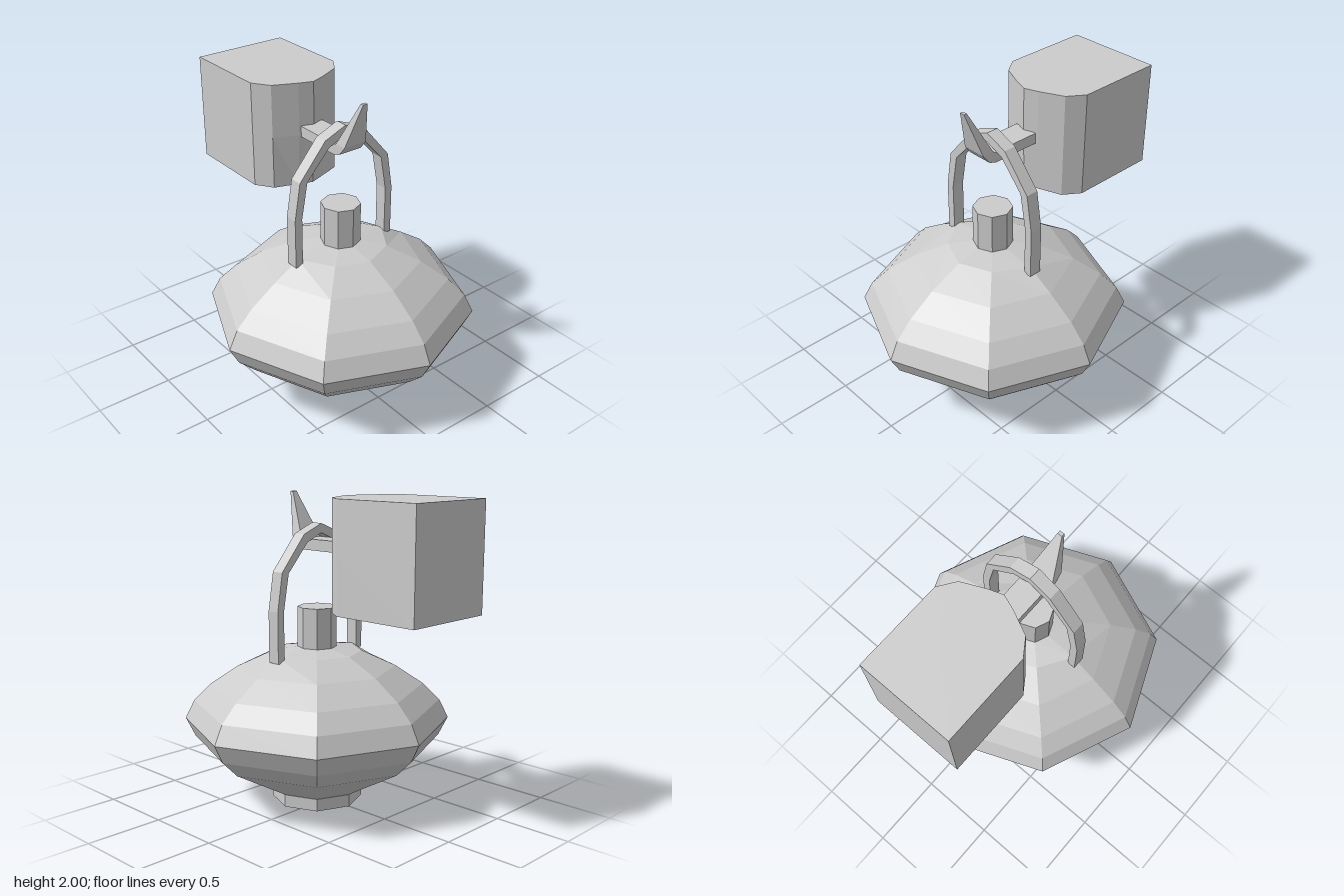
import * as THREE from 'three';

const AXIS_Z = 0.0975; // the octagonal body stands a little forward of centre
const MID_X = -0.007;  // centre of the block and lever

export function createModel() {
  const model = new THREE.Group();
  const material = new THREE.MeshStandardMaterial({ color: 0xcccccc, flatShading: true });

  const add = (name, geometry, x = 0, y = 0, z = 0) => {
    const mesh = new THREE.Mesh(geometry, material);
    mesh.name = name;
    mesh.position.set(x, y, z);
    model.add(mesh);
    return mesh;
  };
  const shapeOf = (points) => new THREE.Shape(points.map(([x, y]) => new THREE.Vector2(x, y)));

  // Faceted body, shoulder drawn out a little under the handle feet
  const profile = [
    [0.29, 0.08], [0.69, 0.31], [0.8, 0.42], [0.86, 0.54], [0.8, 0.66],
    [0.69, 0.77], [0.51, 0.89], [0.29, 0.99], [0.12, 1.02], [0, 1.02],
  ].map(([r, y]) => new THREE.Vector2(r, y));
  const body = new THREE.LatheGeometry(profile, 8);
  const p = body.attributes.position;
  for (let i = 0; i < p.count; i++) {
    const onSide = Math.abs(p.getZ(i)) < 0.001;
    if (onSide && Math.abs(p.getY(i) - 0.99) < 0.001) p.setX(i, Math.sign(p.getX(i)) * 0.335);
  }
  add('body', body, 0, 0, AXIS_Z);

  // Foot and neck
  add('foot', new THREE.CylinderGeometry(0.293, 0.293, 0.08, 8), 0, 0.04, AXIS_Z);
  add('neck', new THREE.CylinderGeometry(0.126, 0.126, 0.28, 8), -0.003, 1.14, AXIS_Z);

  // Arched handle: outer line up one side and down the other, then the inner line back
  const mirror = (half) => [
    ...half,
    ...half.filter(([x]) => x !== 0).reverse().map(([x, y]) => [-x, y]),
  ];
  const outer = mirror([[0.378, 0.965], [0.378, 1.29], [0.338, 1.53], [0.15, 1.75], [0, 1.81]]);
  const inner = mirror([[0.326, 0.965], [0.326, 1.29], [0.284, 1.52], [0.12, 1.7], [0, 1.75]]);
  add('handle', new THREE.ExtrudeGeometry(shapeOf([...outer, ...inner.reverse()]),
    { depth: 0.083, bevelEnabled: false }), -0.002, 0, AXIS_Z - 0.0415);

  // Lever: rectangular sections [upper z, upper y, lower z, lower y, half width]
  const sections = [
    [-0.185, 1.715, -0.185, 1.645, 0.082],
    [0.135, 1.715, 0.14, 1.645, 0.082],
    [0.15, 1.715, 0.19, 1.662, 0.082],
    [0.16, 1.725, 0.237, 1.72, 0.08],
    [0.3, 2.0, 0.322, 2.0, 0.016],
  ];
  const vertices = [];
  const index = [];
  sections.forEach(([uz, uy, lz, ly, w], s) => {
    vertices.push(-w, uy, uz, w, uy, uz, w, ly, lz, -w, ly, lz);
    if (s === 0) return;
    for (let k = 0; k < 4; k++) {
      const a = (s - 1) * 4 + k;
      const b = (s - 1) * 4 + ((k + 1) % 4);
      index.push(a, a + 4, b, b, a + 4, b + 4);
    }
  });
  const e = (sections.length - 1) * 4;
  index.push(0, 1, 2, 0, 2, 3, e, e + 2, e + 1, e, e + 3, e + 2);
  const lever = new THREE.BufferGeometry();
  lever.setAttribute('position', new THREE.Float32BufferAttribute(vertices, 3));
  lever.setIndex(index);
  lever.computeVertexNormals();
  add('lever', lever, MID_X);

  // Rear block with a rounded front, pulled back slightly along its lower half
  const plan = mirror([[0.314, 0.955], [0.314, 0.372], [0.24, 0.265], [0.09, 0.195], [0, 0.163]]);
  const block = new THREE.ExtrudeGeometry(shapeOf(plan),
    { depth: 0.68, steps: 2, bevelEnabled: false });
  block.rotateX(-Math.PI / 2); // shape y becomes -z, depth becomes height
  const b = block.attributes.position;
  for (let i = 0; i < b.count; i++) {
    if (b.getY(i) < 0.01 && b.getZ(i) > -0.22) b.setZ(i, b.getZ(i) - 0.018);
  }
  block.computeVertexNormals();
  add('rearBlock', block, MID_X, 1.312, 0);

  return model;
}
